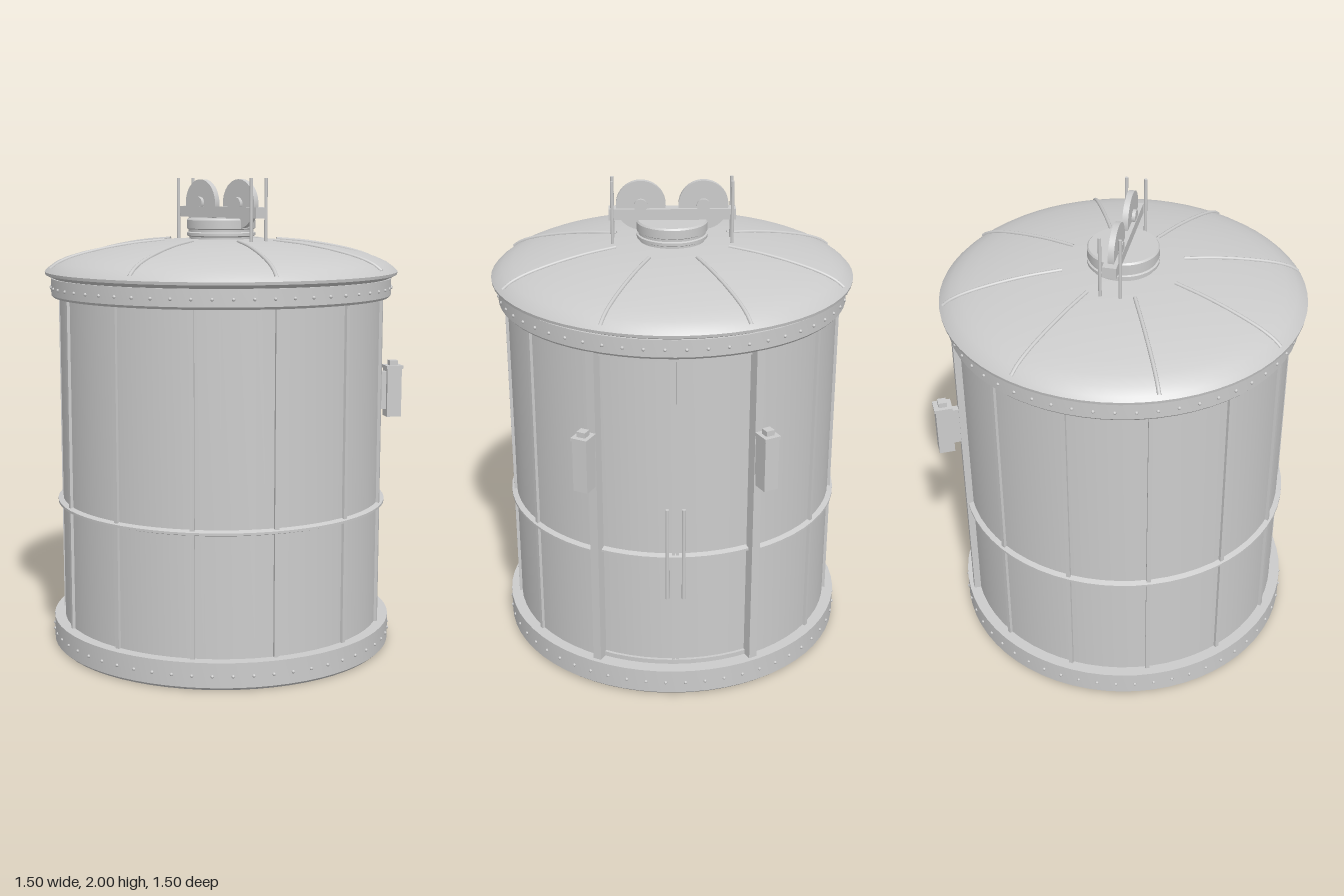
import * as THREE from 'three';
import { toCreasedNormals } from 'three/addons/utils/BufferGeometryUtils.js';

const SEG = 64;
const STEP = (Math.PI * 2) / 13; // angle between wall ribs, measured from +z
const DOOR = STEP * 5.52; // angle of the door posts
const grey = new THREE.MeshStandardMaterial({ color: 0xcccccc, side: THREE.DoubleSide });

export function createModel() {
  const model = new THREE.Group();
  model.name = 'roundCabin';

  const add = (name, geometry, parent = model) => {
    const mesh = new THREE.Mesh(geometry, grey);
    mesh.name = name;
    parent.add(mesh);
    return mesh;
  };
  // Revolved profile, optionally only an arc of it
  const lathe = (name, points, start = 0, length = Math.PI * 2) => {
    const n = Math.max(6, Math.round((SEG * length) / (Math.PI * 2)));
    const geo = new THREE.LatheGeometry(points.map(([r, y]) => new THREE.Vector2(r, y)), n, start, length);
    return add(name, toCreasedNormals(geo, 0.45));
  };
  const ring = (r0, r1, y0, y1) => [[r0, y0], [r1, y0], [r1, y1], [r0, y1], [r0, y0]];
  // Put an object on the wall: local z points outwards
  const place = (object, angle, r, y) => {
    object.position.set(r * Math.sin(angle), y, r * Math.cos(angle));
    object.rotation.y = angle;
    return object;
  };
  const box = (name, w, h, d, parent) => add(name, new THREE.BoxGeometry(w, h, d), parent);
  const rod = (name, r, h, parent, sides = 10) => add(name, new THREE.CylinderGeometry(r, r, h, sides), parent);

  // Base and upper rim
  lathe('base', [[0, 0], [0.722, 0], [0.735, 0.012], [0.735, 0.115], [0.68, 0.115], [0, 0.115]]);
  lathe('upperRim', [[0.66, 1.505], [0.715, 1.505], [0.724, 1.515], [0.724, 1.585], [0.66, 1.585]]);

  // Rivets round both rims
  const rivet = new THREE.SphereGeometry(0.007, 8, 6);
  for (const [r, y] of [[0.735, 0.06], [0.724, 1.545]]) {
    for (let i = 0; i < 56; i++) place(add('rivet', rivet), ((i + 0.5) / 56) * Math.PI * 2, r, y);
  }

  // Wall, its ribs and the middle band
  lathe('wall', [[0.688, 0.11], [0.688, 1.51]], -DOOR, DOOR * 2);
  const band = (r) => [[r, 0.617], [r + 0.022, 0.624], [r + 0.022, 0.634], [r, 0.641]];
  lathe('middleBand', band(0.688), -DOOR, DOOR * 2);
  for (let i = 0; i < 10; i++) {
    place(box('wallRib', 0.018, 1.395, 0.02), (i - 4.5) * STEP, 0.69, 0.81);
  }

  // Recessed double door at the back
  const doorArc = (Math.PI - DOOR) * 2;
  lathe('doorPanels', [[0.668, 0.11], [0.668, 1.51]], DOOR, doorArc);
  lathe('doorBand', band(0.668), DOOR, doorArc);
  lathe('doorSill', ring(0.66, 0.68, 0.11, 0.135), DOOR, doorArc);
  lathe('doorLintel', ring(0.66, 0.68, 1.48, 1.51), DOOR, doorArc);
  for (const s of [-1, 1]) {
    place(box('doorEdge', 0.012, 1.385, 0.014), Math.PI + s * 0.012, 0.672, 0.812);
    const handle = new THREE.Group();
    handle.name = 'doorHandle';
    rod('handleBar', 0.008, 0.41, handle).position.z = 0.02;
    for (const y of [-0.16, 0.16]) {
      const standoff = box('handleMount', 0.01, 0.012, 0.025, handle);
      standoff.position.set(0, y, 0.008);
    }
    model.add(place(handle, Math.PI + s * 0.048, 0.668, 0.645));
  }

  // Door posts, each carrying a lantern
  for (const s of [-1, 1]) {
    place(box('doorPost', 0.036, 1.395, 0.046), s * DOOR, 0.693, 0.81);
    const lantern = new THREE.Group();
    lantern.name = 'lantern';
    box('lanternBody', 0.062, 0.215, 0.066, lantern).position.y = -0.01;
    box('lanternCap', 0.07, 0.014, 0.076, lantern).position.y = 0.104;
    box('lanternTop', 0.036, 0.026, 0.036, lantern).position.y = 0.12;
    box('lanternBracket', 0.03, 0.17, 0.05, lantern).position.z = -0.05;
    model.add(place(lantern, s * DOOR, 0.78, 1.07));
  }

  // Domed roof with a flared brim
  const dome = [[0.735, 1.628], [0.705, 1.65], [0.66, 1.67], [0.6, 1.688], [0.5, 1.71],
    [0.38, 1.729], [0.25, 1.741], [0.12, 1.747], [0, 1.749]];
  lathe('roof', [[0.66, 1.585], [0.715, 1.585], [0.748, 1.6], [0.75, 1.612], ...dome]);

  // Roof ribs follow the dome
  const ribCurve = new THREE.CatmullRomCurve3(
    dome.slice(0, 7).map(([r, y]) => new THREE.Vector3(0, y + 0.001, r)));
  const ribGeo = new THREE.TubeGeometry(ribCurve, 24, 0.008, 8);
  for (let i = 0; i < 8; i++) add('roofRib', ribGeo).rotation.y = ((i + 0.5) * Math.PI) / 4;

  // Hub on top of the roof
  lathe('roofHub', [[0.135, 1.735], [0.135, 1.755], [0.146, 1.76], [0.146, 1.772], [0.139, 1.776],
    [0.139, 1.786], [0.146, 1.79], [0.146, 1.825], [0.14, 1.832], [0, 1.832]]);

  // Pulley frame: beam, two wheels and four upright rods
  box('pulleyBeam', 0.52, 0.045, 0.056).position.y = 1.858;
  for (const s of [-1, 1]) {
    const pulley = new THREE.Group();
    pulley.name = 'pulley';
    pulley.position.set(s * 0.128, 1.893, 0);
    pulley.rotation.x = Math.PI / 2;
    rod('pulleyWheel', 0.102, 0.024, pulley, 40);
    rod('pulleyAxle', 0.028, 0.052, pulley, 20);
    model.add(pulley);
    for (const z of [-0.04, 0.04]) rod('uprightRod', 0.007, 0.265).position.set(s * 0.245, 1.8675, z);
  }
  return model;
}
